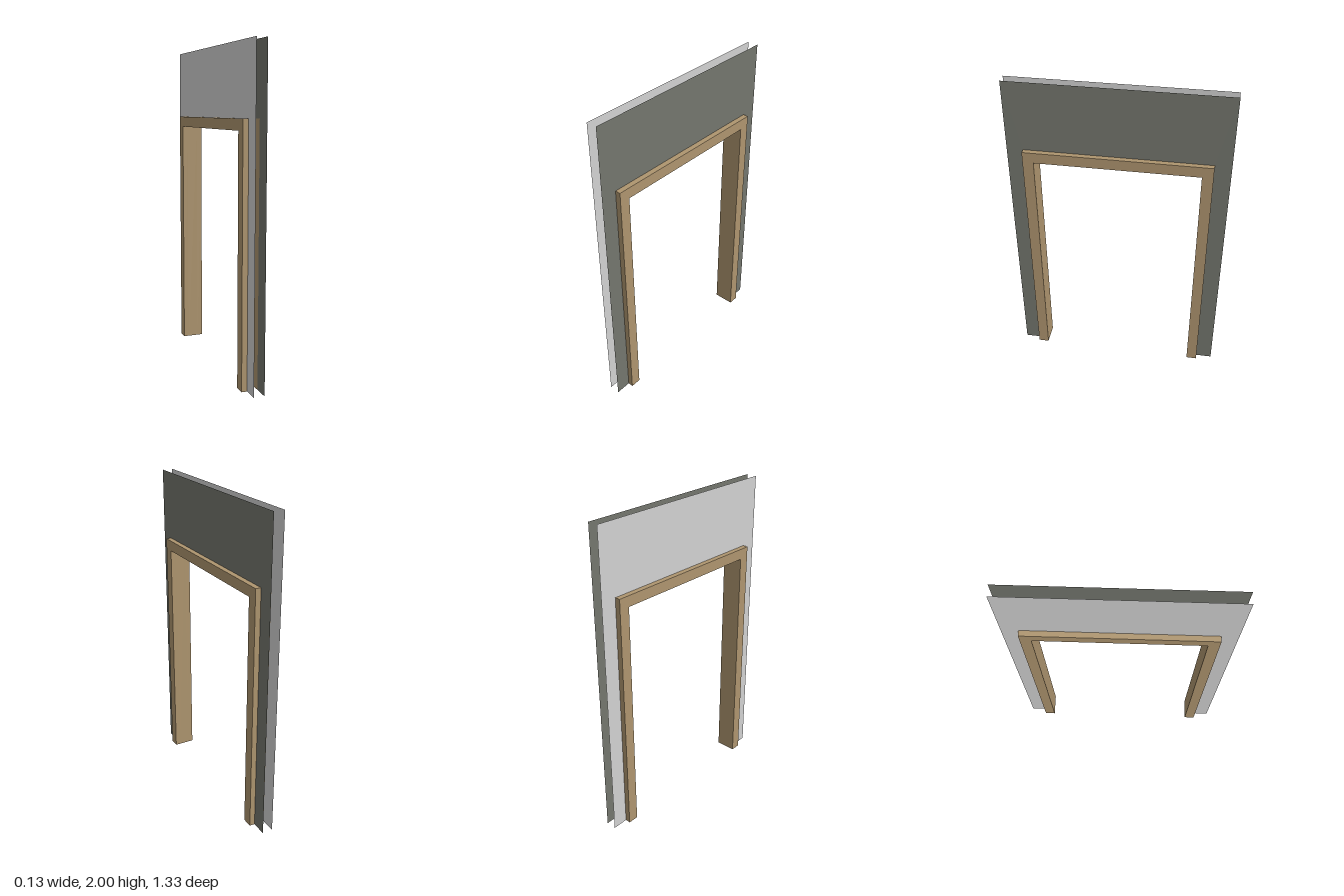
import * as THREE from 'three';

const OPEN_Z = 0.5, OPEN_Y = 1.5;      // clear doorway
const TRIM_Z = 0.567, TRIM_Y = 1.567;  // outer edge of the casing
const WALL_Z = 0.667, WALL_Y = 2;      // outer edge of the wall sheets
const WALL_X = 0.033, TRIM_X = 0.067;

// Upside-down U outline standing on the ground
function archShape(outerW, outerH, innerW, innerH) {
  return new THREE.Shape([
    [-outerW, 0], [-innerW, 0], [-innerW, innerH], [innerW, innerH],
    [innerW, 0], [outerW, 0], [outerW, outerH], [-outerW, outerH],
  ].map(([x, y]) => new THREE.Vector2(x, y)));
}

export function createModel() {
  const group = new THREE.Group();
  const material = (name, color) => {
    const m = new THREE.MeshStandardMaterial({ color, side: THREE.DoubleSide });
    m.name = name;
    return m;
  };
  const wood = material('wood', 0xae956f);
  const darkWall = material('dark wall', 0x74766e);
  const lightWall = material('light wall', 0xd2d2d2);

  const add = (name, geometry, mat) => {
    const mesh = new THREE.Mesh(geometry, mat);
    mesh.name = name;
    group.add(mesh);
    return mesh;
  };

  for (const side of [1, -1]) {
    const label = side > 0 ? 'left' : 'right';

    // Thin wall sheet around the doorway
    const wall = new THREE.ShapeGeometry(archShape(WALL_Z, WALL_Y, TRIM_Z, TRIM_Y));
    wall.rotateY(side * Math.PI / 2).translate(side * WALL_X, 0, 0);
    add(label + 'Wall', wall, side > 0 ? darkWall : lightWall);

    // Casing standing proud of the wall
    const casing = new THREE.ExtrudeGeometry(archShape(TRIM_Z, TRIM_Y, OPEN_Z, OPEN_Y),
      { depth: TRIM_X - WALL_X, bevelEnabled: false });
    casing.rotateY(side * Math.PI / 2).translate(side * WALL_X, 0, 0);
    add(label + 'Casing', casing, wood);

    // Jamb lining between the two casings
    const jamb = new THREE.PlaneGeometry(2 * WALL_X, OPEN_Y);
    if (side > 0) jamb.rotateY(Math.PI);
    jamb.translate(0, OPEN_Y / 2, side * OPEN_Z);
    add(side > 0 ? 'frontJamb' : 'backJamb', jamb, wood);
  }

  // Head lining over the doorway
  const head = new THREE.PlaneGeometry(2 * WALL_X, 2 * OPEN_Z);
  head.rotateX(Math.PI / 2).translate(0, OPEN_Y, 0);
  add('headJamb', head, wood);

  return group;
}
